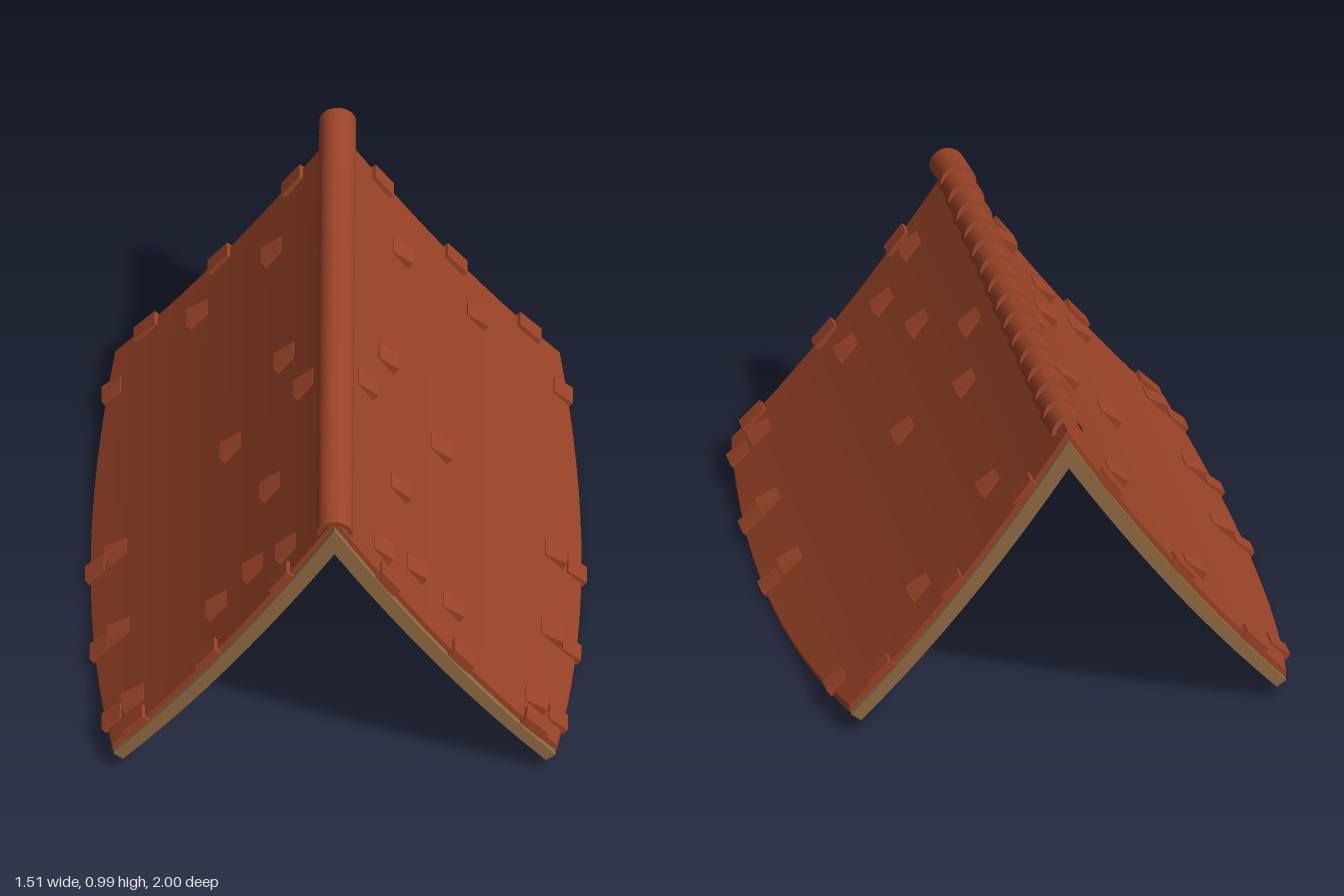
import * as THREE from 'three';
import { toCreasedNormals } from 'three/addons/utils/BufferGeometryUtils.js';

const material = (name, color) => {
  const m = new THREE.MeshStandardMaterial({ color });
  m.name = name;
  return m;
};

// Sagging roof curves: height as a function of distance from the ridge line
const tileTop = x => 0.935 - 1.535 * x + 0.387 * x * x;
const tileSlope = x => -1.535 + 0.774 * x;
const woodTop = x => tileTop(x) - 0.026;
const woodBottom = x => 0.82 - 1.478 * x + 0.393 * x * x;
const panelBottom = x => woodTop(x) - 0.04;
const railBottom = x => woodBottom(x) + 0.012;
const MID_Z = -0.005, HALF_Z = 0.96;
// The eave bows outward in the middle
const eaveX = z => 0.737 - 0.07 * ((z - MID_Z) / HALF_Z) ** 2;

// Band between two curves, extruded along z from z0 to z1
function band(outline, z0, z1) {
  const shape = new THREE.Shape(outline.map(([x, y]) => new THREE.Vector2(x, y)));
  const g = new THREE.ExtrudeGeometry(shape, { depth: z1 - z0, bevelEnabled: false });
  g.translate(0, 0, z0);
  return toCreasedNormals(g, 0.4);
}

// Both slopes joined at the ridge
function chevron(top, bottom, topX, bottomX, z0, z1) {
  const pts = [], n = 10;
  for (let i = -n; i <= n; i++) pts.push([i / n * topX, top(Math.abs(i / n * topX))]);
  for (let i = n; i >= -n; i--) pts.push([i / n * bottomX, bottom(Math.abs(i / n * bottomX))]);
  return band(pts, z0, z1);
}

// Tiled skin: cross-sections swept along z, thinning toward the eaves
function skinGeometry() {
  const n = 14, rows = 16, cols = 2 * n + 1, ring = cols * 2;
  const pos = [], idx = [];
  for (let j = 0; j <= rows; j++) {
    const z = MID_Z + HALF_Z * (2 * j / rows - 1), xe = eaveX(z);
    for (let k = 0; k < ring; k++) {
      const under = k >= cols;
      const x = xe * ((under ? ring - 1 - k : k) / n - 1), ax = Math.abs(x);
      const thick = 0.03 - 0.02 * THREE.MathUtils.smoothstep(ax, 0.62, 0.74);
      pos.push(x, tileTop(ax) - (under ? thick : 0), z);
    }
  }
  for (let j = 0; j < rows; j++) {
    for (let k = 0; k < ring; k++) {
      const a = j * ring + k, b = j * ring + (k + 1) % ring;
      idx.push(a, a + ring, b, a + ring, b + ring, b);
    }
  }
  // Gable edges
  const last = rows * ring;
  for (let i = 0; i < cols - 1; i++) {
    const t = i, p = i + 1, m = ring - 1 - i, q = ring - 2 - i;
    idx.push(last + t, last + m, last + q, last + t, last + q, last + p);
    idx.push(t, q, m, t, p, q);
  }
  const g = new THREE.BufferGeometry();
  g.setAttribute('position', new THREE.Float32BufferAttribute(pos, 3));
  g.setIndex(idx);
  return toCreasedNormals(g, 0.4);
}

export function createModel() {
  const clay = material('clay red', 0x9a4327);
  const timber = material('timber brown', 0x8f6a42);
  const boards = material('dark board brown', 0x6e4e34);

  const roof = new THREE.Group();
  roof.name = 'tiledRoof';
  const add = (name, geometry, mat, parent = roof) => {
    const mesh = new THREE.Mesh(geometry, mat);
    mesh.name = name;
    parent.add(mesh);
    return mesh;
  };

  add('tileSkin', skinGeometry(), clay);

  // Boarding under the tiles
  add('underBoards', chevron(woodTop, panelBottom, 0.65, 0.64, -0.95, 0.94), boards);

  // Two rafters at each gable
  for (const z of [0.925, 0.835, -0.89, -0.985]) {
    add('rafter', chevron(woodTop, woodBottom, 0.664, 0.635, z, z + 0.05), timber);
  }

  // Eave rails
  for (const s of [-1, 1]) {
    const outline = [[s * 0.6, woodTop(0.6)], [s * 0.66, woodTop(0.66)],
      [s * 0.634, railBottom(0.634)], [s * 0.58, railBottom(0.58)]];
    add('eaveRail', band(outline, -0.98, 0.97), timber);
  }

  // Loose tiles tilted out of the skin, mirrored on both slopes
  const loose = new THREE.Group();
  loose.name = 'raisedTiles';
  roof.add(loose);
  const tileGeo = new THREE.BoxGeometry(0.075, 0.03, 0.075);
  const placeTile = (name, geo, x, z, tilt) => {
    for (const s of [-1, 1]) {
      const tile = add(name, geo, clay, loose);
      tile.position.set(s * x, tileTop(x), z);
      tile.rotation.z = s * (Math.atan(tileSlope(x)) + tilt);
    }
  };
  const spots = [[0.14, 0.83], [0.24, 0.75], [0.35, 0.75], [0.6, 0.83], [0.19, 0.44], [0.645, 0.44],
    [0.09, 0.12], [0.31, 0.04], [0.655, 0.04], [0.15, -0.12], [0.19, -0.71], [0.415, -0.78]];
  for (const [x, z] of spots) placeTile('raisedTile', tileGeo, x, z, 0.3);

  // Tiles poking past the eaves
  const eaveGeo = new THREE.BoxGeometry(0.07, 0.022, 0.075);
  for (const z of [0.83, 0.44, 0.04, -0.78]) placeTile('eaveTile', eaveGeo, eaveX(z) - 0.018, z, 0.12);

  // Tiles poking past the gable edges
  const gableGeo = new THREE.BoxGeometry(0.09, 0.03, 0.06);
  for (const x of [0.16, 0.38, 0.6]) {
    placeTile('gableTile', gableGeo, x, 0.937, 0.04);
    placeTile('gableTile', gableGeo, x - 0.03, -0.947, 0.04);
  }

  // Overlapping half-round ridge tiles
  const arch = new THREE.Shape();
  arch.absarc(0, 0, 0.055, 0, Math.PI, false);
  arch.absarc(0, 0, 0.041, Math.PI, 0, true);
  const length = 0.19, count = 15;
  const ridgeGeo = new THREE.ExtrudeGeometry(arch, { depth: length, bevelEnabled: false, curveSegments: 12 });
  ridgeGeo.translate(0, 0, -length / 2);
  const ridgeSmooth = toCreasedNormals(ridgeGeo, 0.5);
  const ridge = new THREE.Group();
  ridge.name = 'ridge';
  roof.add(ridge);
  for (let i = 0; i < count; i++) {
    const tile = add('ridgeTile', ridgeSmooth, clay, ridge);
    tile.position.set(0, 0.924, 0.902 - i * 1.804 / (count - 1));
    tile.rotation.x = 0.155;
  }

  return roof;
}
